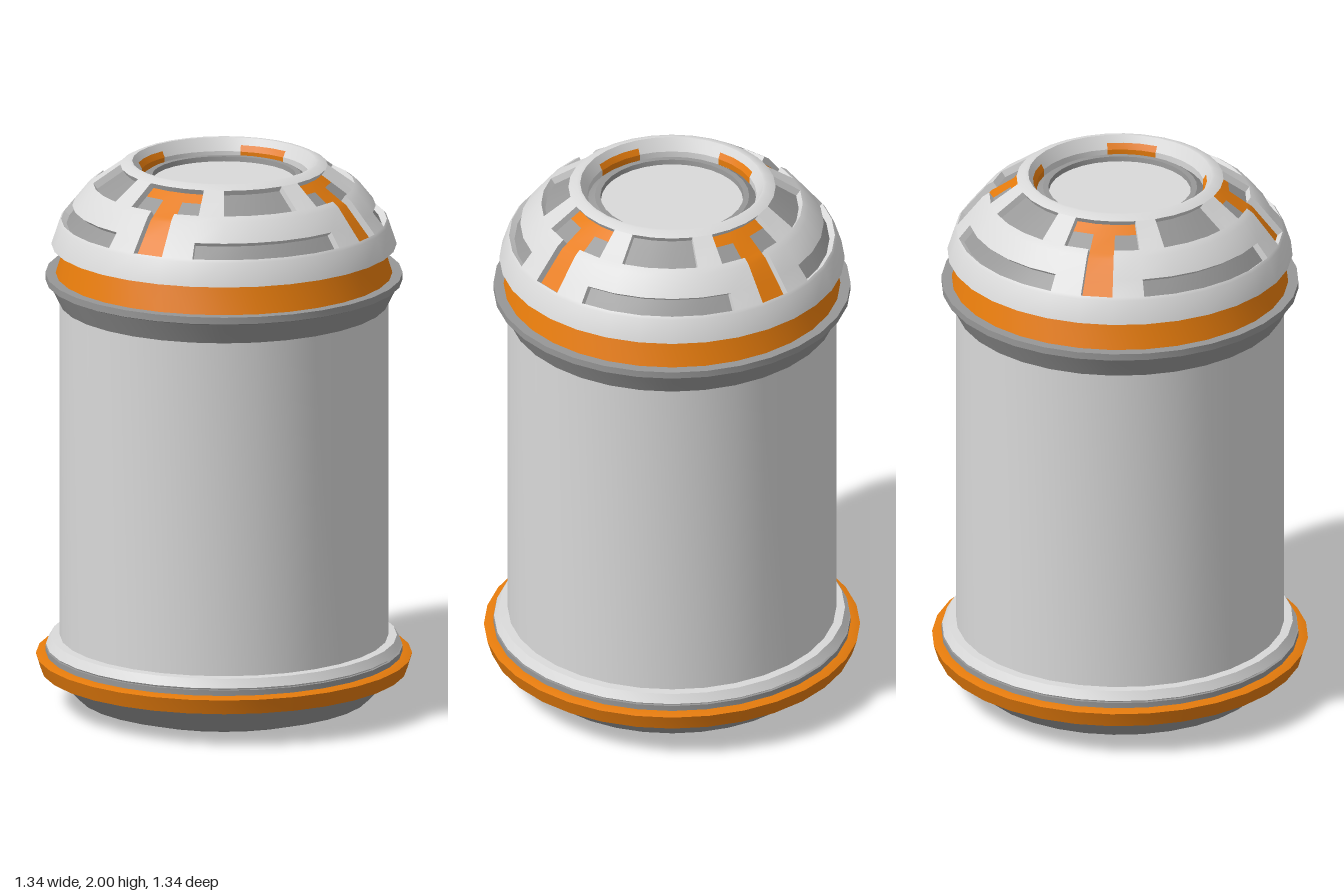
import * as THREE from 'three';
import { toCreasedNormals } from 'three/addons/utils/BufferGeometryUtils.js';

const SEGS = 32;
const STEP = (Math.PI * 2) / SEGS;

const mat = (name, color) => {
  const m = new THREE.MeshStandardMaterial({ color });
  m.name = name;
  return m;
};

export function createModel() {
  const group = new THREE.Group();
  const light = mat('lightGrey', 0xd9d9d9);
  const grey = mat('midGrey', 0x979797);
  const orange = mat('orange', 0xe57b0c);

  const add = (name, geometry, material) => {
    const mesh = new THREE.Mesh(toCreasedNormals(geometry, 0.5), material);
    mesh.name = name;
    group.add(mesh);
    return mesh;
  };
  // Turned part from [radius, height] pairs
  const turn = (name, material, profile, start = 0, count = SEGS) =>
    add(name, new THREE.LatheGeometry(
      profile.map(([r, y]) => new THREE.Vector2(r, y)), count, start * STEP, count * STEP), material);

  // Base, bands, body and collar
  turn('base', grey, [[0, 0], [0.42, 0], [0.525, 0.032], [0.617, 0.127]]);
  turn('baseBand', orange, [[0.6, 0.127], [0.655, 0.127], [0.672, 0.182], [0.645, 0.19], [0.6, 0.19]]);
  turn('baseSeal', grey, [[0.638, 0.18], [0.638, 0.21], [0.6, 0.21]]);
  turn('baseFlange', light, [[0.628, 0.21], [0.636, 0.217], [0.618, 0.248], [0.58, 0.25]]);
  turn('body', light, [[0.587, 0.24], [0.587, 1.48]]);
  turn('collar', grey, [[0.585, 1.475], [0.626, 1.557], [0.638, 1.562], [0.638, 1.587], [0.59, 1.587]]);
  turn('neckBand', orange, [[0.602, 1.585], [0.568, 1.695]]);

  // Dome shell: rows of [radius, height], with recessed windows cut into the grid
  const rows = [
    [0.617, 1.693], [0.59, 1.775], [0.582, 1.785], [0.542, 1.835],
    [0.49, 1.9], [0.467, 1.916], [0.405, 1.96], [0.37, 1.985],
  ];
  const DEPTH = 0.025;
  const inner = rows.map(([r, y], i) => {
    const p = rows[Math.max(i - 1, 0)];
    const n = rows[Math.min(i + 1, rows.length - 1)];
    const dr = n[0] - p[0], dy = n[1] - p[1], len = Math.hypot(dr, dy);
    return [r - (dy / len) * DEPTH, y + (dr / len) * DEPTH];
  });
  const inCrossbar = (s) => s === 7 || s === 0 || s === 1;
  // What fills a cell: null is solid shell
  const recess = (row, seg) => {
    const s = (seg + SEGS) % 8;
    if (s === 0 && row >= 2 && row <= 6) return 'orange';
    if (row === 6 && inCrossbar(s)) return 'orange';
    if ((row === 5 || row === 6) && (inCrossbar(s) || (s >= 3 && s <= 5))) return 'grey';
    if (row === 2 && s >= 2 && s <= 6) return 'grey';
    return null;
  };
  const at = ([r, y], j) => {
    const a = (j % SEGS) * STEP;
    return [r * Math.sin(a), y, r * Math.cos(a)];
  };
  const faces = { shell: [], wall: [], orange: [], grey: [] };
  const quad = (key, a, b, c, d) => faces[key].push(...a, ...b, ...c, ...a, ...c, ...d);

  for (let i = 0; i < rows.length - 1; i++) {
    for (let j = 0; j < SEGS; j++) {
      const corners = (p) => [at(p[i], j), at(p[i], j + 1), at(p[i + 1], j + 1), at(p[i + 1], j)];
      const [a, b, c, d] = corners(rows);
      const fill = recess(i, j);
      if (!fill) {
        quad('shell', a, b, c, d);
        continue;
      }
      const [a2, b2, c2, d2] = corners(inner);
      quad(fill, a2, b2, c2, d2);
      // Window walls wherever the neighbour is solid
      if (!recess(i - 1, j)) quad('wall', a, b, b2, a2);
      if (!recess(i + 1, j)) quad('wall', d2, c2, c, d);
      if (!recess(i, j - 1)) quad('wall', a, a2, d2, d);
      if (!recess(i, j + 1)) quad('wall', b2, b, c, c2);
    }
  }
  const addFaces = (name, list, material) => {
    const g = new THREE.BufferGeometry();
    g.setAttribute('position', new THREE.Float32BufferAttribute(list, 3));
    add(name, g, material);
  };
  addFaces('domeShell', faces.shell, light);
  addFaces('windowWalls', faces.wall, light);
  addFaces('domeInlays', faces.orange, orange);
  addFaces('windowFloors', faces.grey, grey);
  turn('domeUnderside', light, [[0.56, 1.693], [0.617, 1.693]]);

  // Top rim with a recessed ring and cap
  turn('rim', light, [[0.37, 1.985], [0.34, 2], [0.328, 2], [0.302, 1.955], [0.302, 1.925]]);
  turn('capRing', grey, [[0.304, 1.928], [0.276, 1.948], [0.256, 1.948], [0.253, 1.925]]);
  turn('cap', light, [[0.258, 1.93], [0, 1.93]]);
  for (let k = 0; k < 4; k++) {
    turn('rimInlay', orange, [[0.311, 1.976], [0.299, 1.955], [0.299, 1.932]], k * 8 - 1, 3);
  }
  return group;
}
